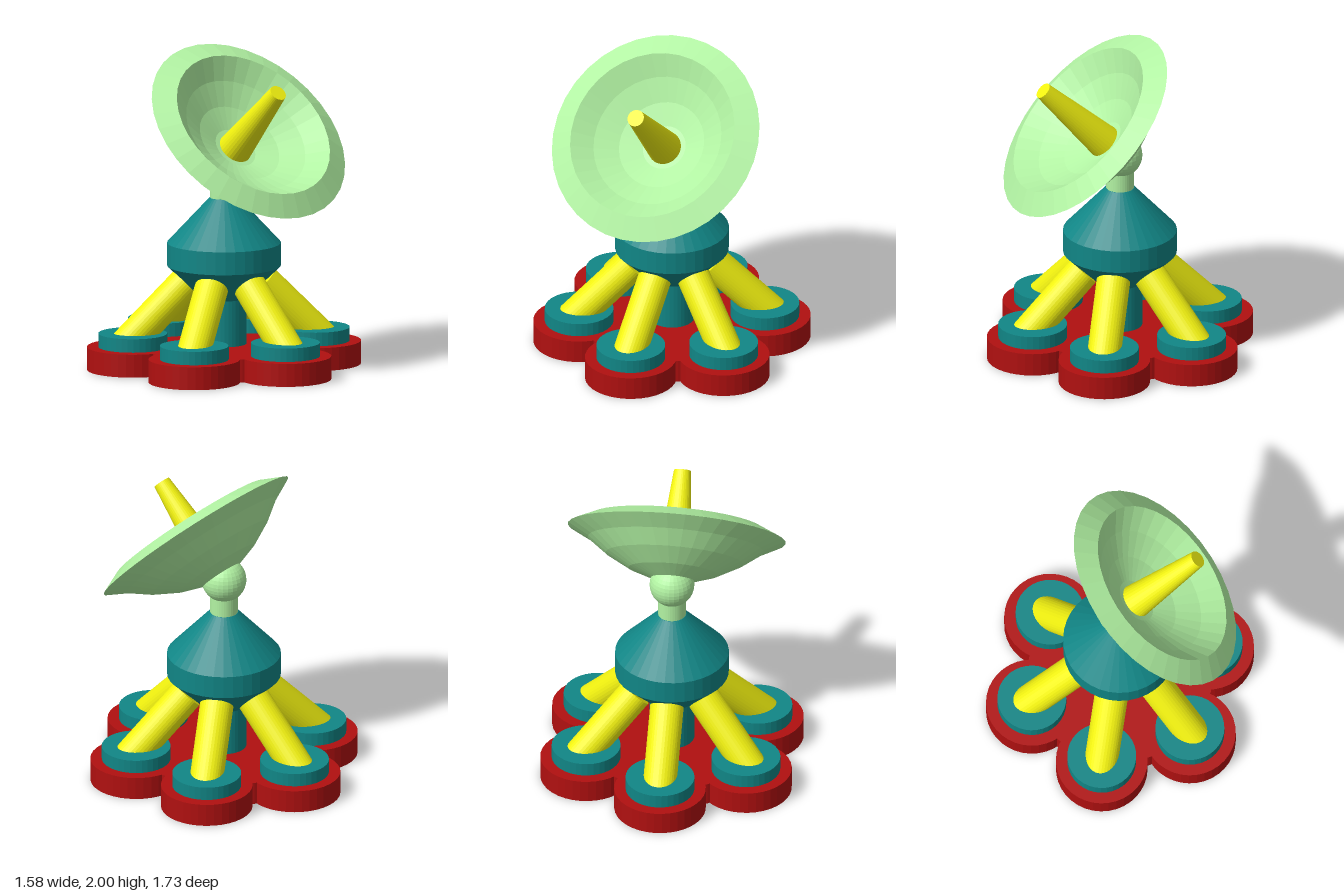
import * as THREE from 'three';

const material = (color) => new THREE.MeshStandardMaterial({ color, flatShading: true });
const RED = material(0xb01010);
const TEAL = material(0x118686);
const YELLOW = material(0xf2f210);
const GREEN = material(0xb2f3a3);

function add(parent, name, geometry, mat, x = 0, y = 0, z = 0) {
  const mesh = new THREE.Mesh(geometry, mat);
  mesh.name = name;
  mesh.position.set(x, y, z);
  parent.add(mesh);
  return mesh;
}

const disc = (radius, height) => new THREE.CylinderGeometry(radius, radius, height, 36);
const lathe = (points, segments = 36) =>
  new THREE.LatheGeometry(points.map(([r, y]) => new THREE.Vector2(r, y)), segments);

export function createModel() {
  const model = new THREE.Group();
  model.name = 'dishTower';

  // Centre of the flower-shaped base
  add(model, 'baseCentre', disc(0.578, 0.145), RED, 0, 0.0725, 0);

  // Six feet, each with a petal, a pad and a sloping leg
  const legLow = new THREE.Vector3(0, 0.15, 0.63);
  const legHigh = new THREE.Vector3(0, 0.536, 0.245);
  const legAxis = legHigh.clone().sub(legLow);
  for (let i = 0; i < 6; i++) {
    const foot = new THREE.Group();
    foot.name = 'foot' + (i + 1);
    foot.rotation.y = (i * Math.PI) / 3;
    add(foot, 'basePetal', disc(0.286, 0.145), RED, 0, 0.0725, 0.58);
    add(foot, 'footPad', disc(0.215, 0.09), TEAL, 0, 0.185, 0.58);
    const leg = add(foot, 'leg', disc(0.105, legAxis.length()), YELLOW);
    leg.position.copy(legLow).add(legHigh).multiplyScalar(0.5);
    leg.quaternion.setFromUnitVectors(new THREE.Vector3(0, 1, 0), legAxis.clone().normalize());
    model.add(foot);
  }

  // Column and double-cone body
  add(model, 'body', lathe([
    [0.14, 0.14], [0.14, 0.435], [0.355, 0.64], [0.355, 0.785], [0.09, 1.07], [0, 1.07],
  ]), TEAL);

  // Neck and ball joint
  add(model, 'neck', disc(0.087, 0.16), GREEN, 0, 1.14, 0);
  add(model, 'ballJoint', new THREE.SphereGeometry(0.14, 28, 18), GREEN, 0, 1.29, 0);

  // Dish assembly, tilted to face forward and up
  const dish = new THREE.Group();
  dish.name = 'dishAssembly';
  dish.position.set(0, 1.52, 0.23);
  dish.rotation.x = Math.PI / 4;
  model.add(dish);

  // Dish: outer shell, sloping lip, then inner bowl
  add(dish, 'dish', lathe([
    [0, -0.31], [0.13, -0.295], [0.28, -0.242], [0.43, -0.16], [0.55, -0.07], [0.682, 0],
    [0.54, 0.067], [0.42, -0.035], [0.28, -0.118], [0.14, -0.172], [0, -0.19],
  ]), GREEN);

  // Tapered feed horn
  add(dish, 'feedHorn', new THREE.CylinderGeometry(0.054, 0.109, 0.588, 32), YELLOW, 0, 0.104, 0);

  return model;
}
